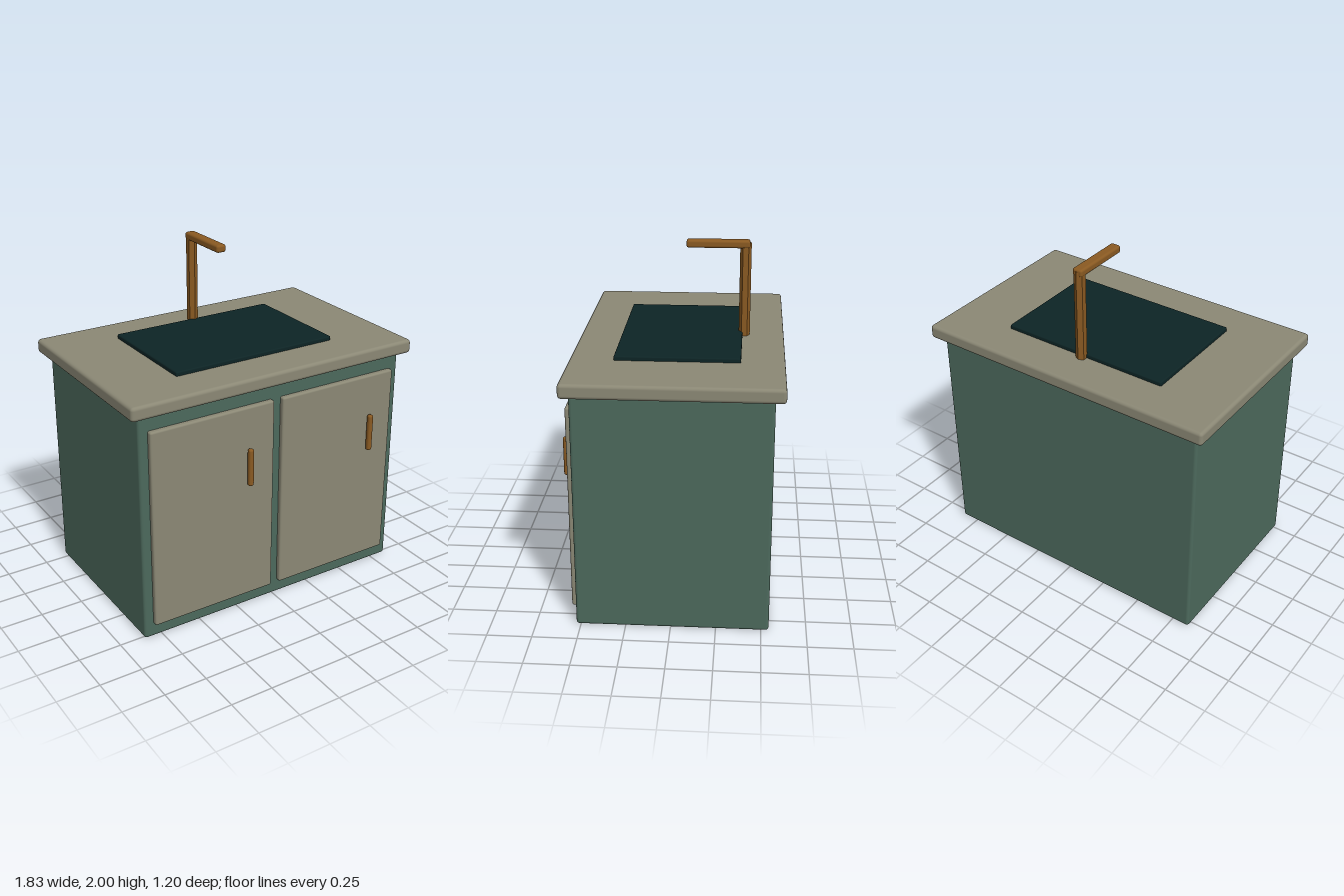
import * as THREE from 'three';
import { RoundedBoxGeometry } from 'three/addons/geometries/RoundedBoxGeometry.js';

const material = (name, color, flatShading = false) => {
  const m = new THREE.MeshStandardMaterial({ color });
  m.name = name;
  m.flatShading = flatShading;
  return m;
};

export function createModel() {
  const green = material('cabinetGreen', 0x4c695c);
  const stone = material('stoneBeige', 0x8b8875);
  const dark = material('basinDark', 0x0d2425);
  const brass = material('brass', 0x8a5a22);
  const brassFaceted = brass;

  const model = new THREE.Group();
  model.name = 'sinkCabinet';

  // Box with softened edges, given by its min and max on each axis
  const block = (name, mat, [x0, x1], [y0, y1], [z0, z1], radius) => {
    const geo = new RoundedBoxGeometry(x1 - x0, y1 - y0, z1 - z0, 2, radius);
    const mesh = new THREE.Mesh(geo, mat);
    mesh.name = name;
    mesh.position.set((x0 + x1) / 2, (y0 + y1) / 2, (z0 + z1) / 2);
    model.add(mesh);
    return mesh;
  };

  // Cabinet, worktop and sink
  block('cabinet', green, [-0.857, 0.857], [0.005, 1.362], [-0.543, 0.526], 0.018);
  block('countertop', stone, [-0.914, 0.914], [1.364, 1.446], [-0.597, 0.573], 0.02);
  block('basin', dark, [-0.514, 0.514], [1.43, 1.47], [-0.358, 0.329], 0.008);

  // Doors, both with the handle towards the model's left
  for (const [side, x0, x1, handleX] of [
    ['right', -0.803, -0.029, -0.202],
    ['left', 0.027, 0.801, 0.628],
  ]) {
    block(`${side}Door`, stone, [x0, x1], [0.09, 1.277], [0.51, 0.556], 0.012);
    block(`${side}Handle`, brass, [handleX - 0.016, handleX + 0.016], [0.815, 1.041], [0.567, 0.6], 0.013);
  }

  // Tap: six-sided post and a flat spout reaching over the basin
  const postGeo = new THREE.CylinderGeometry(0.032, 0.032, 0.545, 6).toNonIndexed();
  postGeo.computeVertexNormals();
  const post = new THREE.Mesh(postGeo, brassFaceted);
  post.name = 'tapPost';
  post.position.set(0, 1.7125, -0.368);
  model.add(post);
  block('tapSpout', brass, [-0.031, 0.031], [1.955, 2], [-0.393, -0.034], 0.014);

  return model;
}
